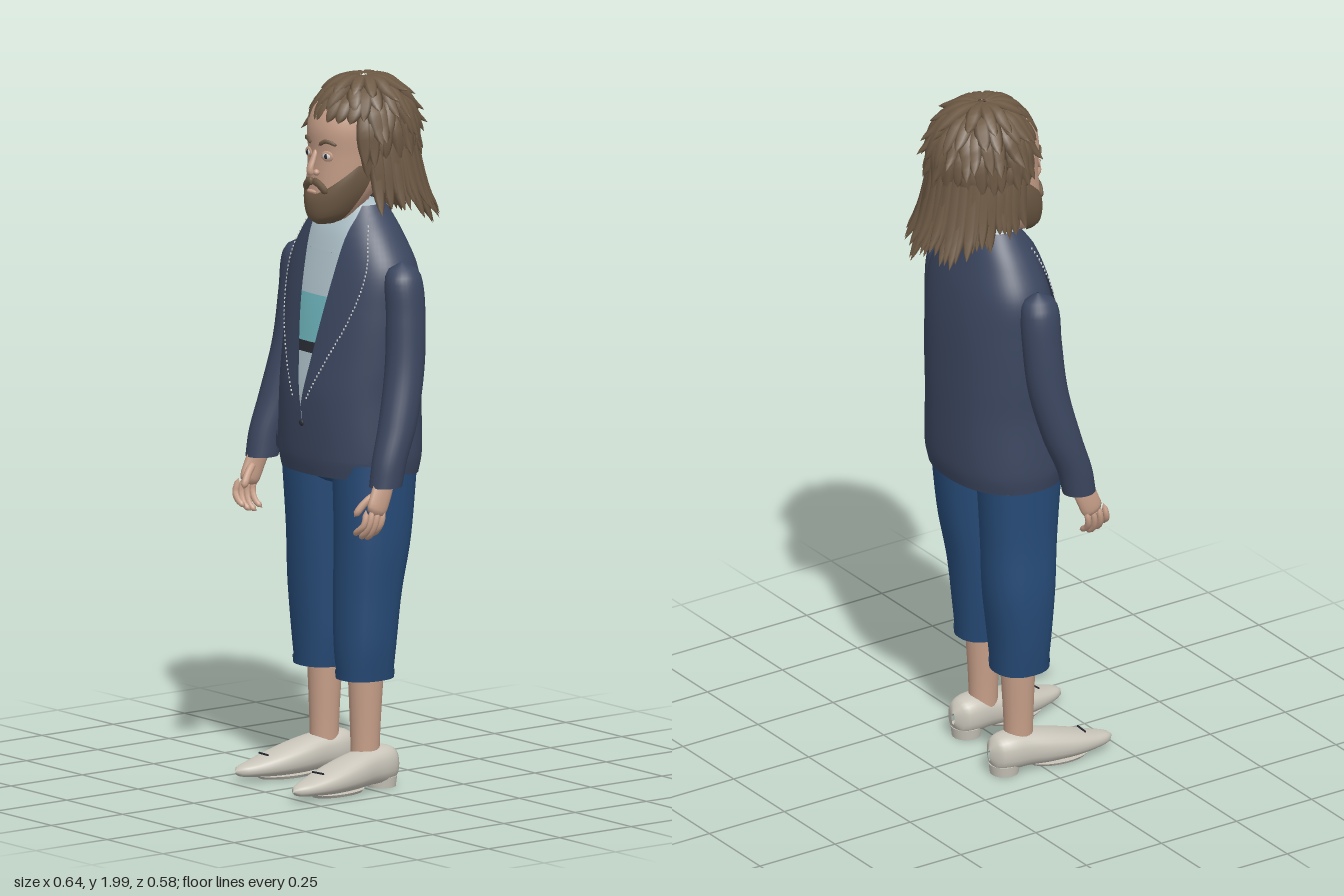
import * as THREE from 'three';
import { mergeGeometries, mergeVertices } from 'three/addons/utils/BufferGeometryUtils.js';

const V = (x, y, z) => new THREE.Vector3(x, y, z);
const TAU = Math.PI * 2;

// smooth surface from fn(u, v) -> Vector3
function sheet(fn, nu, nv) {
  const pos = [], idx = [];
  for (let j = 0; j <= nv; j++) for (let i = 0; i <= nu; i++) pos.push(...fn(i / nu, j / nv).toArray());
  for (let j = 0; j < nv; j++) for (let i = 0; i < nu; i++) {
    const a = j * (nu + 1) + i, b = a + 1, c = a + nu + 1, d = c + 1;
    idx.push(a, b, d, a, d, c);
  }
  let g = new THREE.BufferGeometry();
  g.setAttribute('position', new THREE.Float32BufferAttribute(pos, 3));
  g.setIndex(idx);
  g = mergeVertices(g, 1e-5);
  g.computeVertexNormals();
  return g;
}

// smooth interpolation through rows keyed by their first number
function profile(rows) {
  const n = rows.length;
  const slope = (i, k) => {
    const a = rows[Math.max(0, i - 1)], b = rows[Math.min(n - 1, i + 1)];
    return (b[k] - a[k]) / (b[0] - a[0]);
  };
  return (y) => {
    let i = 0;
    while (i < n - 2 && y > rows[i + 1][0]) i++;
    const A = rows[i], B = rows[i + 1], h = B[0] - A[0];
    const t = THREE.MathUtils.clamp((y - A[0]) / h, 0, 1), t2 = t * t, t3 = t2 * t;
    return A.slice(1).map((a, k) => (2 * t3 - 3 * t2 + 1) * a + (t3 - 2 * t2 + t) * h * slope(i, k + 1)
      + (3 * t2 - 2 * t3) * B[k + 1] + (t3 - t2) * h * slope(i + 1, k + 1));
  };
}

const sp = (c, e) => Math.sign(c) * Math.abs(c) ** e;
// point function of a body with rows [y, cx, halfWidth, zBack, zFront]
function body(rows, n = 2) {
  const f = profile(rows);
  const point = (y, a, off = 0) => {
    const [cx, w, b, fr] = f(y);
    return V(cx + (w + off) * sp(Math.sin(a), 2 / n), y, (b + fr) / 2 + ((fr - b) / 2 + off) * sp(Math.cos(a), 2 / n));
  };
  point.angle = (y, x) => Math.asin(Math.min(1, Math.max(0, x) / f(y)[1]) ** (n / 2));
  return point;
}
const loft = (p, y0, y1, nv = 16, nu = 28, off = 0) =>
  sheet((u, v) => p(y0 + (y1 - y0) * v, (u - 0.5) * TAU, off), nu, nv);

// tapered strand along a path; ref gives the thickness direction
function strand(pts, w, h, ref, taper, nu = 6, nv = 8) {
  const c = new THREE.CatmullRomCurve3(pts);
  return sheet((u, v) => {
    const P = c.getPoint(v), T = c.getTangent(v), N = ref(P).clone();
    N.addScaledVector(T, -N.dot(T)).normalize();
    const B = N.clone().cross(T), r = taper(v), a = u * TAU;
    return P.addScaledVector(B, w * r * Math.cos(a)).addScaledVector(N, h * r * Math.sin(a));
  }, nu, nv);
}
const roundEnds = (t) => Math.sqrt(Math.max(0, 1 - (2 * t - 1) ** 6));
const finger = (pts, r) => strand(pts, r, r, () => V(1, 0, 0.2), roundEnds, 8, 8);

export function createModel() {
  const root = new THREE.Group();
  root.name = 'standingMan';
  const mat = (name, color, side = THREE.FrontSide) => {
    const m = new THREE.MeshStandardMaterial({ color, side });
    m.name = name;
    return m;
  };
  const D = THREE.DoubleSide;
  const hair = mat('brownHair', 0x6e5a45), skin = mat('skin', 0xc79f89), jacket = mat('navyJacket', 0x3b465f, D),
    jeans = mat('blueDenim', 0x264a76, D), shoe = mat('offWhiteShoe', 0xc9c5ba), shirt = mat('paleShirt', 0xb0c3cb, D),
    teal = mat('tealStripe', 0x6fb7bf, D), dark = mat('darkDetail', 0x2b2d36, D), white = mat('whiteDetail', 0xdcdcd8);
  const add = (name, geo, m) => {
    const o = new THREE.Mesh(geo, m);
    o.name = name;
    root.add(o);
    return o;
  };

  // jacket with a V opening
  const torso = body([[0.88, -0.005, 0.215, -0.21, 0.108], [0.93, -0.005, 0.222, -0.22, 0.117], [1.1, -0.003, 0.215, -0.222, 0.12],
    [1.2, -0.002, 0.219, -0.22, 0.108], [1.35, 0, 0.22, -0.212, 0.085], [1.46, 0, 0.212, -0.195, 0.06],
    [1.55, -0.003, 0.16, -0.17, 0.035], [1.6, -0.005, 0.12, -0.152, 0.012], [1.63, -0.005, 0.095, -0.135, 0]], 2.25);
  const vEdge = profile([[0.88, 0], [1.04, 0], [1.05, 0.001], [1.24, 0.037], [1.4, 0.063], [1.6, 0.085], [1.63, 0.082]]);
  const lapEdge = profile([[1.06, 0.012], [1.12, 0.04], [1.2, 0.08], [1.33, 0.138], [1.46, 0.162], [1.55, 0.135], [1.6, 0.108], [1.63, 0.09]]);
  const edge = (y) => torso.angle(y, vEdge(y)[0]);
  const lap = (y) => torso.angle(y, lapEdge(y)[0]);
  add('jacketBody', sheet((u, v) => {
    const y = 0.88 + 0.75 * v, e = edge(y);
    return torso(y, e + (TAU - 2 * e) * u);
  }, 56, 44), jacket);
  add('jacketHem', sheet((u, v) => torso(0.88, u * TAU, -0.014 * (1 - v)), 48, 1), jacket);
  const patch = (name, s, a0, a1, y0, y1, off, m) => add(name, sheet((u, v) => {
    const y = y0 + (y1 - y0) * v, t = s > 0 ? u : 1 - u;
    return torso(y, s * (a0(y) + (a1(y) - a0(y)) * t), off);
  }, 10, 20), m);
  for (const s of [1, -1]) {
    patch('lapel', s, edge, lap, 1.06, 1.63, 0.008, jacket);
    patch('pocketFlap', s, () => 0.35, () => 1.05, 0.93, 0.965, 0.006, jacket);
    const stitches = [];
    for (let i = 0; i < 46; i++) {
      const y = 1.1 + 0.48 * i / 45, p = torso(y, s * lap(y), 0.009);
      stitches.push(new THREE.BoxGeometry(0.003, 0.005, 0.003).translate(p.x, p.y, p.z));
    }
    add('lapelStitching', mergeGeometries(stitches), white);
  }
  patch('breastPocket', 1, () => 0.45, () => 0.95, 1.345, 1.365, 0.005, jacket);
  add('button', new THREE.SphereGeometry(0.009, 12, 8).scale(1, 1, 0.5).translate(0, 1.025, 0.123), dark);

  // striped shirt
  const band = (name, y0, y1, m) => add(name, sheet((u, v) => torso(y0 + (y1 - y0) * v, (u - 0.5) * 2, -0.007), 20, 8), m);
  band('shirtLower', 1.0, 1.22, shirt);
  band('shirtDarkStripe', 1.22, 1.25, dark);
  band('shirtTealStripe', 1.25, 1.38, teal);
  band('shirtChest', 1.38, 1.5, shirt);
  add('shirtUpper', loft(torso, 1.5, 1.63, 10, 32, -0.007), shirt);
  add('shirtCollar', sheet((u, v) => torso(1.63, u * TAU, -0.007).lerp(V(0, 1.645, -0.06), v * 0.5), 32, 2), shirt);

  // trousers
  add('hips', loft(body([[0.85, 0, 0.06, -0.1, 0.03], [0.87, 0, 0.14, -0.15, 0.06], [0.9, 0, 0.2, -0.175, 0.085], [1, 0, 0.2, -0.18, 0.09]], 2.4), 0.85, 1), jeans);
  for (const s of [1, -1]) {
    const dz = s > 0 ? 0 : -0.042, bx = s > 0 ? 0.114 : -0.125, r = s > 0 ? 0.068 : 0.075;
    const leg = body([[0.31, bx, r, -0.088 + dz, 0.068 + dz], [0.4, bx, r + 0.012, -0.095 + dz, 0.074 + dz],
      [0.55, bx, r + 0.02, -0.112 + dz, 0.074 + dz * 0.7], [0.7, s * 0.118, 0.094, -0.14 + dz * 0.4, 0.074 + dz * 0.4],
      [0.92, s * 0.114, 0.098, -0.168, 0.078]], 2.3);
    add('trouserLeg', loft(leg, 0.31, 0.92, 20), jeans);
    add('trouserCuff', loft(leg, 0.31, 0.33, 2, 28, 0.003), jeans);
    const cx = s > 0 ? 0.122 : -0.125, cz = s > 0 ? -0.005 : -0.055;
    add('shin', loft(body([[0.06, cx, 0.038, cz - 0.042, cz + 0.042], [0.15, cx, 0.04, cz - 0.042, cz + 0.042],
      [0.36, cx, 0.05, cz - 0.055, cz + 0.05]]), 0.06, 0.36, 8, 20), skin);

    // pointed slip-on shoe, rows [length, halfWidth, bottom, top]
    const f = profile([[0, 0.006, 0.045, 0.08], [0.012, 0.034, 0.02, 0.105], [0.05, 0.05, 0.012, 0.118], [0.11, 0.053, 0.012, 0.114],
      [0.18, 0.059, 0.008, 0.1], [0.26, 0.056, 0.008, 0.078], [0.33, 0.04, 0.012, 0.057], [0.375, 0.021, 0.017, 0.045], [0.39, 0.002, 0.027, 0.034]]);
    const foot = new THREE.Group();
    foot.name = 'foot';
    const part = (name, g, m) => { const o = new THREE.Mesh(g, m); o.name = name; foot.add(o); };
    part('shoe', sheet((u, v) => {
      const z = 0.39 * v, [w, b, t] = f(z), a = u * TAU;
      return V(w * sp(Math.cos(a), 0.8), (b + t) / 2 + (t - b) / 2 * sp(Math.sin(a), 0.85), z);
    }, 24, 30), shoe);
    part('heel', new THREE.CylinderGeometry(0.044, 0.04, 0.03, 20).translate(0, 0.015, 0.048), shoe);
    part('sole', new THREE.CylinderGeometry(0.05, 0.045, 0.008, 24).scale(1, 1, 1.9).translate(0, 0.006, 0.22), shoe);
    part('shoeSlit', new THREE.BoxGeometry(0.044, 0.004, 0.004).rotateX(0.3).translate(0, 0.071, 0.295), dark);
    foot.position.set(s > 0 ? 0.121 : -0.125, 0, s > 0 ? -0.106 : -0.152);
    foot.rotation.y = s > 0 ? 0.12 : -0.065;
    root.add(foot);

    // sleeve
    const arm = body([[0.88, 0.277, 0.043, -0.003, 0.092], [0.95, 0.276, 0.046, -0.02, 0.08], [1.05, 0.268, 0.051, -0.06, 0.05],
      [1.2, 0.252, 0.053, -0.098, 0.015], [1.35, 0.24, 0.052, -0.111, 0.002], [1.44, 0.231, 0.049, -0.109, 0],
      [1.475, 0.226, 0.034, -0.094, -0.016], [1.492, 0.222, 0.002, -0.057, -0.053]].map((r) => [r[0], s * r[1], ...r.slice(2)]));
    add('sleeve', loft(arm, 0.88, 1.492, 32), jacket);
    add('sleeveCuff', sheet((u, v) => arm(0.881, u * TAU, -0.012 * (1 - v)), 28, 1), jacket);

    // hand with curled fingers
    const P = (x, y, z) => V(s * x, y, z);
    const hand = [strand([P(0.277, 0.91, 0.045), P(0.283, 0.86, 0.065), P(0.285, 0.8, 0.09)], 0.034, 0.017, () => V(s, 0, 0), roundEnds, 14, 12)];
    for (let i = 0; i < 4; i++) {
      const z = 0.062 + i * 0.02, drop = [0.008, 0, 0.004, 0.016][i];
      hand.push(finger([P(0.285, 0.825, z - 0.002), P(0.289, 0.785, z + 0.006), P(0.272, 0.75 + drop, z + 0.011), P(0.243, 0.733 + drop, z + 0.008)], 0.0092));
    }
    hand.push(finger([P(0.275, 0.865, 0.075), P(0.26, 0.835, 0.108), P(0.248, 0.8, 0.132)], 0.011));
    add('hand', mergeGeometries(hand), skin);
  }

  // head and face
  const head = body([[1.58, 0.005, 0.012, 0, 0.065], [1.595, 0.005, 0.045, -0.03, 0.083], [1.64, 0.008, 0.075, -0.08, 0.091],
    [1.7, 0.012, 0.096, -0.13, 0.088], [1.78, 0.017, 0.107, -0.17, 0.085], [1.86, 0.02, 0.11, -0.18, 0.088],
    [1.93, 0.022, 0.085, -0.15, 0.055], [1.97, 0.025, 0.01, -0.05, -0.02]], 2.15);
  add('neck', new THREE.CylinderGeometry(0.052, 0.058, 0.14, 20).translate(0, 1.64, -0.045), skin);
  add('head', loft(head, 1.58, 1.97, 28, 32), skin);
  add('beard', sheet((u, v) => {
    const a = (u - 0.5) * 3.2, top = 1.667 + 0.085 * Math.min(1, Math.abs(a) / 1.2) ** 1.6;
    return head(1.58 + (top - 1.58) * v, a, 0.007 * (1 - v ** 6));
  }, 32, 14), hair);
  const nose = [strand([V(0.014, 1.797, 0.08), V(0.013, 1.765, 0.092), V(0.012, 1.737, 0.102), V(0.012, 1.722, 0.096)], 0.014, 0.012,
    () => V(0, 0, 1), (t) => roundEnds(t) * (0.5 + 0.5 * t), 10, 12)];
  for (const s of [1, -1]) {
    nose.push(new THREE.SphereGeometry(0.009, 10, 8).translate(0.012 + s * 0.013, 1.73, 0.09).deleteAttribute('uv'));
    const x = 0.017 + s * 0.041;
    const z = head(1.78, s * head.angle(1.78, 0.041)).z;
    const disc = (name, rx, ry, dz, m) =>
      add(name, new THREE.SphereGeometry(1, 16, 10).scale(rx, ry, 0.004).rotateY(s * 0.25).translate(x, 1.779, z + dz), m);
    disc('eyelid', 0.021, 0.015, 0.001, skin);
    disc('eyeWhite', 0.014, 0.0085, 0.003, white);
    disc('iris', 0.006, 0.0075, 0.005, dark);
    const face = (dx, y, off) => head(y, s * head.angle(y, dx), off);
    const brow = strand([face(0.016, 1.808, 0.004), face(0.04, 1.822, 0.004), face(0.068, 1.811, 0.004)], 0.006, 0.004, () => V(0, 0, 1), roundEnds, 8, 8);
    add('eyebrow', brow, hair);
    add('moustache', strand([face(0, 1.705, 0.004), face(0.022, 1.699, 0.004), face(0.048, 1.672, 0.003)], 0.012, 0.008, () => V(0, 0, 1), roundEnds, 8, 10), hair);
    add('ear', new THREE.SphereGeometry(1, 12, 10).scale(0.015, 0.032, 0.022).translate(0.017 + s * 0.112, 1.765, -0.05), skin);
  }
  add('nose', mergeGeometries(nose.map((g) => g.index ? g.toNonIndexed() : g)), skin);
  add('lowerLip', new THREE.SphereGeometry(1, 14, 8).scale(0.02, 0.006, 0.006).translate(0.011, 1.675, 0.096), skin);

  // hair: a scalp covered with layered pointed locks
  let seed = 7;
  const rnd = () => (seed = (seed * 16807) % 2147483647) / 2147483647;
  const C = V(0.025, 1.835, -0.075);
  const scalp = (th, ph, k = 1) => V(C.x + 0.13 * k * Math.sin(th) * Math.sin(ph), C.y + 0.15 * k * Math.cos(th), C.z + 0.145 * k * Math.sin(th) * Math.cos(ph));
  add('scalp', loft(body([[1.7, 0.022, 0.09, -0.19, -0.03], [1.76, 0.024, 0.119, -0.21, -0.02], [1.84, 0.025, 0.125, -0.215, 0.01],
    [1.89, 0.025, 0.122, -0.205, 0.07], [1.94, 0.025, 0.094, -0.165, 0.04], [1.982, 0.025, 0.003, -0.07, -0.06]]), 1.7, 1.982, 18), hair);
  const locks = [];
  const taper = (t) => Math.sin(Math.PI * (0.12 + 0.88 * t)) ** 0.7 + 1e-3;
  const lock = (pts, w) => locks.push(strand(pts, w, w * 0.55, (p) => p.clone().sub(C), taper));
  const layers = [[12, 0.08, 0.85], [18, 0.4, 1.15], [24, 0.75, 1.5], [26, 1.05, 1.85], [24, 1.35, 2.1]];
  layers.forEach(([n, t0, t1], k) => {
    for (let i = 0; i < n; i++) {
      const ph = (i + 0.5 * (k % 2) + 0.5 * rnd()) / n * TAU - Math.PI, front = Math.abs(ph) < 0.85;
      if (front && k > 2) continue;
      const e = front ? Math.min(t1, 1.34) : t1 + 0.2 * rnd(), sw = (rnd() - 0.5) * 0.3;
      const flare = front ? 1.13 : 1.14 + 0.16 * rnd();
      lock([scalp(t0, ph, 0.98), scalp(t0 + (e - t0) * 0.4, ph + sw * 0.3, 1.04), scalp(t0 + (e - t0) * 0.75, ph + sw * 0.7, 1.08), scalp(e, ph + sw, flare)], 0.019 + 0.005 * rnd());
    }
  });
  // long hanging locks round the sides and back
  for (let k = 0; k < 2; k++) for (let i = 0; i < 22; i++) {
    const ph = 1.12 + (i + 0.5 * k) / 22 * (TAU - 2.24) + 0.1 * (rnd() - 0.5), back = Math.max(0, -Math.cos(ph));
    const p = scalp(1.35 + 0.25 * k, ph, 1.0), out = V(Math.sin(ph), 0, Math.cos(ph));
    const tip = 1.615 - 0.07 * back + 0.05 * rnd(), o = 0.02 + 0.025 * rnd() + 0.02 * back;
    const q = (y, d) => V(p.x + out.x * d, y, p.z + out.z * d - 0.02 * (p.y - y) / 0.25);
    lock([p, q(p.y * 0.6 + tip * 0.4, 0.006), q(p.y * 0.25 + tip * 0.75, o * 0.45), q(tip, o)], 0.019 + 0.004 * rnd());
  }
  add('hairLocks', mergeGeometries(locks), hair);
  return root;
}
